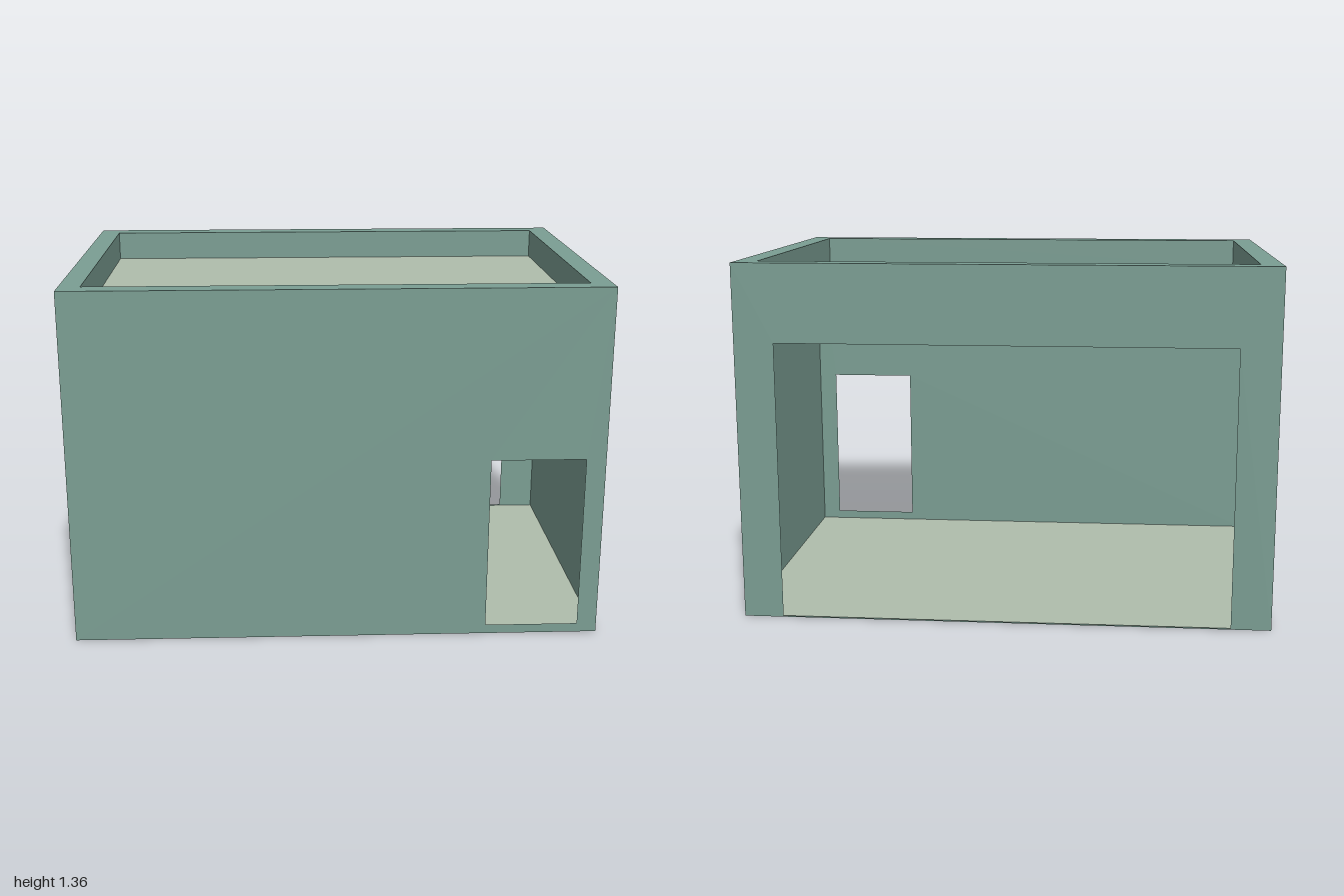
import * as THREE from 'three';

const W = 2, H = 1.355, D = 1.355;   // overall size
const RIM = 0.08;                    // width of the parapet top
const ROOF_Y = 1.24;                 // sunken roof level

const wallGreen = new THREE.MeshStandardMaterial({ color: 0x7b9e93, side: THREE.DoubleSide });
const paleFloor = new THREE.MeshStandardMaterial({ color: 0xafbdac, side: THREE.DoubleSide });

// Rectangle given by its corners, as a Shape or a hole
function rect(x0, y0, x1, y1, Type = THREE.Shape) {
  const r = new Type();
  r.moveTo(x0, y0).lineTo(x1, y0).lineTo(x1, y1).lineTo(x0, y1).closePath();
  return r;
}

// Thin flat panel with an optional rectangular hole
function panel(name, outline, hole, material) {
  const shape = rect(...outline);
  if (hole) shape.holes.push(rect(...hole, THREE.Path));
  const mesh = new THREE.Mesh(new THREE.ShapeGeometry(shape), material);
  mesh.name = name;
  return mesh;
}

export function createModel() {
  const model = new THREE.Group();
  model.name = 'building';
  const x = W / 2, z = D / 2, ix = x - RIM, iz = z - RIM;

  // Front wall with the doorway
  const front = panel('frontWall', [-x, 0, x, H], [0.57, 0.035, 0.925, 0.705], wallGreen);
  front.position.z = z;
  model.add(front);

  // Back wall with the wide opening
  const back = panel('backWall', [-x, 0, x, H], [-0.85, 0.005, 0.85, 1.06], wallGreen);
  back.position.z = -z;
  back.rotation.y = Math.PI;
  model.add(back);

  // Side walls and the inner faces of the parapet, mirrored
  for (const s of [1, -1]) {
    const side = panel(s > 0 ? 'leftWall' : 'rightWall', [-z, 0, z, H], null, wallGreen);
    side.position.x = s * x;
    side.rotation.y = s * Math.PI / 2;

    const innerSide = panel('parapetInnerSide', [-iz, ROOF_Y, iz, H], null, wallGreen);
    innerSide.position.x = s * ix;
    innerSide.rotation.y = -s * Math.PI / 2;

    const innerEnd = panel('parapetInnerEnd', [-ix, ROOF_Y, ix, H], null, wallGreen);
    innerEnd.position.z = s * iz;
    innerEnd.rotation.y = s > 0 ? Math.PI : 0;
    model.add(side, innerSide, innerEnd);
  }

  // Horizontal surfaces: parapet top, sunken roof, floor
  const levels = [
    [panel('parapetTop', [-x, -z, x, z], [-ix, -iz, ix, iz], wallGreen), H],
    [panel('roof', [-ix, -iz, ix, iz], null, paleFloor), ROOF_Y],
    [panel('floor', [-x, -z, x, z], null, paleFloor), 0],
  ];
  for (const [mesh, y] of levels) {
    mesh.rotation.x = -Math.PI / 2;
    mesh.position.y = y;
    model.add(mesh);
  }
  return model;
}
